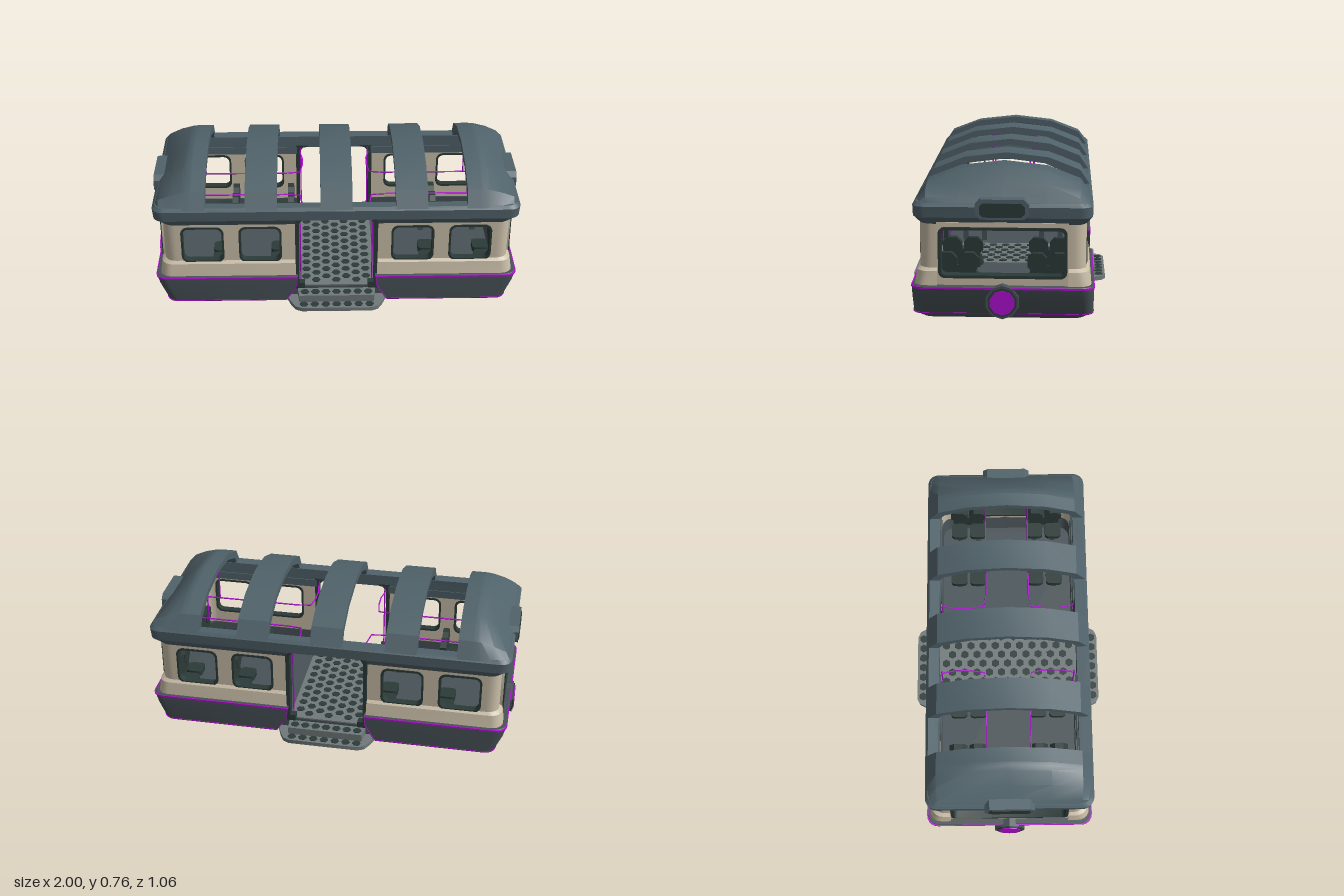
import * as THREE from 'three';
import { toCreasedNormals } from 'three/addons/utils/BufferGeometryUtils.js';

const mat = (name, color, side = THREE.FrontSide) => {
  const m = new THREE.MeshStandardMaterial({ color, side });
  m.name = name;
  return m;
};

// Copy of a geometry mirrored by sx, sz with the winding kept outward.
function mirrored(geo, sx, sz) {
  const g = geo.index ? geo.toNonIndexed() : geo.clone();
  g.deleteAttribute('uv');
  g.deleteAttribute('normal');
  g.clearGroups();
  g.scale(sx, 1, sz);
  if (sx * sz < 0) {
    const p = g.attributes.position, a = new THREE.Vector3(), b = new THREE.Vector3();
    for (let i = 0; i < p.count; i += 3) {
      a.fromBufferAttribute(p, i + 1);
      b.fromBufferAttribute(p, i + 2);
      p.setXYZ(i + 1, b.x, b.y, b.z);
      p.setXYZ(i + 2, a.x, a.y, a.z);
    }
  }
  g.computeVertexNormals();
  return toCreasedNormals(g, 0.55);
}

function meshFrom(pos, idx) {
  const g = new THREE.BufferGeometry();
  g.setAttribute('position', new THREE.Float32BufferAttribute(pos, 3));
  g.setIndex(idx);
  return g;
}

// Quarter wall round one corner: a closed profile of [xStart, xEnd, zHalf, y].
function quarter(profile, zStop = 0, r = 0.06) {
  const pos = [], idx = [], n = profile.length, steps = 5, m = steps + 3;
  for (const [xs, xe, zh, y] of profile) {
    pos.push(xs, y, zh);
    for (let k = 0; k <= steps; k++) {
      const a = (1 - k / steps) * Math.PI / 2;
      pos.push(xe - r + r * Math.cos(a), y, zh - r + r * Math.sin(a));
    }
    pos.push(xe, y, zStop);
  }
  for (let i = 0; i < n; i++) for (let j = 0; j < m - 1; j++) {
    const a = i * m + j, d = ((i + 1) % n) * m + j;
    idx.push(a, a + 1, d + 1, a, d + 1, d);
  }
  for (let i = 1; i < n - 1; i++) {
    idx.push(0, i * m, (i + 1) * m);
    idx.push(m - 1, (i + 1) * m + m - 1, i * m + m - 1);
  }
  return meshFrom(pos, idx);
}

function roundRect(x0, x1, y0, y1, r, T = THREE.Shape) {
  const s = new T();
  s.moveTo(x0 + r, y0).lineTo(x1 - r, y0);
  s.absarc(x1 - r, y0 + r, r, -Math.PI / 2, 0).lineTo(x1, y1 - r);
  s.absarc(x1 - r, y1 - r, r, 0, Math.PI / 2).lineTo(x0 + r, y1);
  s.absarc(x0 + r, y1 - r, r, Math.PI / 2, Math.PI).lineTo(x0, y0 + r);
  s.absarc(x0 + r, y0 + r, r, Math.PI, Math.PI * 1.5);
  return s;
}
const poly = (pts) => new THREE.Shape(pts.map(([x, y]) => new THREE.Vector2(x, y)));
const extrude = (shape, depth) => new THREE.ExtrudeGeometry(shape, { depth, bevelEnabled: false, curveSegments: 5 });
// Extrusion facing +z, along +x, or lying flat
const alongZ = (s, z, d) => extrude(s, d).translate(0, 0, z);
const alongX = (s, x, d) => extrude(s, d).rotateY(Math.PI / 2).translate(x, 0, 0);
const flat = (s, y, d) => extrude(s, d).rotateX(Math.PI / 2).translate(0, y + d, 0);
const box = (x0, x1, y0, y1, z0, z1) => new THREE.BoxGeometry(x1 - x0, y1 - y0, z1 - z0)
  .translate((x0 + x1) / 2, (y0 + y1) / 2, (z0 + z1) / 2);
const rod = (pts, r = 0.004) => {
  const path = new THREE.CurvePath(), v = pts.map((p) => new THREE.Vector3(...p));
  for (let i = 1; i < v.length; i++) path.add(new THREE.LineCurve3(v[i - 1], v[i]));
  return new THREE.TubeGeometry(path, (v.length - 1) * 3, r, 6);
};
const discX = (r, x0, x1, sides, y, z) => new THREE.CylinderGeometry(r, r, x1 - x0, sides, 1, false, Math.PI / 2)
  .rotateZ(-Math.PI / 2).translate((x0 + x1) / 2, y, z);

export function createModel() {
  const root = new THREE.Group();
  root.name = 'openShuttle';
  const slate = mat('slateRoof', 0x50626a, THREE.DoubleSide);
  const hullMat = mat('hullGrey', 0x485257);
  const cream = mat('creamPanel', 0xcabea8);
  const purple = mat('purpleTrim', 0xb010d2);
  const dark = mat('darkFrame', 0x2b3a38);
  const plate = mat('treadPlate', 0x70797a);
  const BOTH = [1, -1], ONE = [1];
  const add = (name, geo, material, xs = ONE, zs = ONE) => {
    for (const sx of xs) for (const sz of zs) {
      const mesh = new THREE.Mesh(mirrored(geo, sx, sz), material);
      mesh.name = name;
      root.add(mesh);
    }
  };

  // Lower hull and its purple trim lines
  add('hull', quarter([[0.29, 0.90, 0.41, 0], [0.275, 0.925, 0.452, 0.025], [0.215, 0.965, 0.455, 0.12],
    [0.21, 0.98, 0.455, 0.172], [0.21, 0.975, 0.45, 0.18], [0.21, 0.90, 0.38, 0.18], [0.29, 0.86, 0.38, 0]]), hullMat, BOTH, BOTH);
  add('hullTrimTop', quarter([[0.21, 0.982, 0.458, 0.168], [0.21, 0.982, 0.458, 0.177],
    [0.21, 0.96, 0.43, 0.177], [0.21, 0.96, 0.43, 0.168]]), purple, BOTH, BOTH);
  add('hullTrimBottom', quarter([[0.275, 0.928, 0.454, 0.024], [0.275, 0.93, 0.456, 0.03],
    [0.275, 0.90, 0.43, 0.03], [0.275, 0.90, 0.43, 0.024]]), purple, BOTH, BOTH);
  add('hullTrimEdge', rod([[0.213, 0.172, 0.454], [0.218, 0.12, 0.454], [0.273, 0.028, 0.452]], 0.003), purple, BOTH, BOTH);
  add('floor', flat(roundRect(-0.885, 0.885, -0.4, 0.4, 0.05), 0.001, 0.085), hullMat);

  // Cream waist, side walls, rounded corners and end walls
  add('waist', quarter([[0.22, 0.957, 0.441, 0.18], [0.22, 0.947, 0.429, 0.25], [0.22, 0.93, 0.416, 0.264],
    [0.22, 0.9, 0.386, 0.264], [0.22, 0.9, 0.386, 0.18]], 0.325), cream, BOTH, BOTH);
  const side = roundRect(0.215, 0.86, 0.18, 0.5, 0.001);
  const windows = [[0.295, 0.525], [0.605, 0.835]];
  for (const [a, b] of windows) {
    side.holes.push(roundRect(a, b, 0.255, 0.475, 0.04, THREE.Path));
    const frame = roundRect(a, b, 0.255, 0.475, 0.04);
    frame.holes.push(roundRect(a + 0.011, b - 0.011, 0.266, 0.464, 0.032, THREE.Path));
    add('sideWindowFrame', alongZ(frame, 0.38, 0.04), dark, BOTH, BOTH);
  }
  add('sideWall', alongZ(side, 0.385, 0.03), cream, BOTH, BOTH);
  add('cornerPost', quarter([[0.855, 0.93, 0.415, 0.18], [0.855, 0.93, 0.415, 0.5],
    [0.855, 0.9, 0.385, 0.5], [0.855, 0.9, 0.385, 0.18]], 0.325), cream, BOTH, BOTH);
  const endWall = roundRect(-0.326, 0.326, 0.18, 0.5, 0.001);
  endWall.holes.push(roundRect(-0.318, 0.318, 0.218, 0.474, 0.035, THREE.Path));
  add('endWall', alongX(endWall, 0.905, 0.04), cream, BOTH);
  const endFrame = roundRect(-0.32, 0.32, 0.216, 0.476, 0.035);
  endFrame.holes.push(roundRect(-0.305, 0.305, 0.231, 0.461, 0.025, THREE.Path));
  add('endWindowFrame', alongX(endFrame, 0.895, 0.056), dark, BOTH);

  // Doorway frames
  const door = roundRect(-0.222, 0.222, 0.08, 0.545, 0.04);
  door.holes.push(roundRect(-0.203, 0.203, 0.07, 0.53, 0.04, THREE.Path));
  const post = poly([[0.203, 0.085], [0.222, 0.085], [0.222, 0.54], [0.15, 0.54], [0.15, 0.532], [0.18, 0.525], [0.2, 0.5]]);
  add('doorFrame', alongZ(post, 0.375, 0.055), dark, BOTH, BOTH);
  add('doorFoot', box(0.172, 0.205, 0.085, 0.12, 0.39, 0.43), dark, BOTH, BOTH);

  // Roof rim: deep over the walls, shallower over the doorways
  add('roofEaves', quarter([[0.215, 0.93, 0.414, 0.488], [0.215, 0.975, 0.444, 0.532],
    [0.215, 0.88, 0.37, 0.532], [0.215, 0.88, 0.37, 0.488]]), slate, BOTH, BOTH);
  add('roofRim', quarter([[0, 0.975, 0.444, 0.53], [0, 0.98, 0.446, 0.585], [0, 0.965, 0.432, 0.602],
    [0, 0.89, 0.375, 0.598], [0, 0.88, 0.375, 0.53]]), slate, BOTH, BOTH);

  // Roof arches
  const half = [[0.445, 0.585], [0.385, 0.675], [0.22, 0.74]];
  const section = [...half, [0, 0.765], ...half.map(([z, y]) => [-z, y]).reverse()];
  const inner = section.map(([z, y]) => [z * 0.91, y - 0.032]).reverse();
  const arch = poly([...section, ...inner]);
  for (const [x, w] of [[-0.485, 0.17], [-0.085, 0.17], [0.315, 0.17], [0.695, 0.077], [-0.772, 0.077]]) {
    add('roofArch', alongX(arch, x, w), slate);
  }

  // Hipped roof ends
  const pos = [], idx = [];
  const stations = [[0.77, 1, 1], [0.79, 0.98, 1], [0.815, 0.9, 1], [0.88, 0.55, 1], [0.945, 0.17, 0.985], [0.972, 0, 0.93]];
  for (const [x, k, w] of stations) for (const [z, y] of section) {
    const f = y - 0.59;
    pos.push(x, 0.59 + (f > 0 ? f * Math.pow(k, f / 0.175) : f), z * w);
  }
  for (let i = 0; i < stations.length - 1; i++) for (let j = 0; j < 6; j++) {
    const a = i * 7 + j, d = a + 7;
    idx.push(a, d, d + 1, a, d + 1, a + 1);
  }
  add('roofEnd', meshFrom(pos, idx), slate, BOTH);

  // End lamps: roof marker and round lower lamp
  const octagon = (w, y0, y1, c) => poly([[-w, y0 + c], [-w + c, y0], [w - c, y0], [w, y0 + c],
    [w, y1 - c], [w - c, y1], [-w + c, y1], [-w, y1 - c]]);
  add('roofLampHousing', alongX(octagon(0.132, 0.527, 0.627, 0.025), 0.935, 0.06), slate, BOTH);
  add('roofLampLens', alongX(octagon(0.112, 0.538, 0.608, 0.018), 0.99, 0.009), dark, BOTH);
  add('lampHousing', discX(0.086, 0.9, 0.99, 10, 0.105, 0), hullMat, BOTH);
  add('lampBezel', discX(0.074, 0.98, 0.995, 10, 0.105, 0), dark, BOTH);
  add('lampLens', discX(0.064, 0.992, 1, 10, 0.105, 0), purple, BOTH);

  // Tread floor and door steps with hexagonal studs
  add('treadFloor', box(-0.21, 0.21, 0.084, 0.092, -0.405, 0.405), plate);
  add('upperStep', flat(poly([[-0.215, 0.38], [0.215, 0.38], [0.205, 0.475], [-0.205, 0.475]]), 0.02, 0.046), plate, ONE, BOTH);
  add('lowerStep', flat(poly([[-0.28, 0.39], [0.28, 0.39], [0.25, 0.47], [0.225, 0.515], [0.19, 0.532],
    [-0.19, 0.532], [-0.225, 0.515], [-0.25, 0.47]]), 0.003, 0.022), plate, ONE, BOTH);
  const hex = (x, y, z) => new THREE.CylinderGeometry(0.024, 0.024, 0.004, 6, 1, false, Math.PI / 6).translate(x, y, z);
  for (let i = -3; i <= 3; i++) {
    add('stepHex', hex(i * 0.06, 0.026, 0.498), dark, ONE, BOTH);
    add('stepHex', hex(i * 0.058, 0.067, 0.438), dark, ONE, BOTH);
    for (let j = -5; j <= 5; j++) {
      const z = j * 0.072 + (i % 2 ? 0.036 : 0);
      if (Math.abs(z) < 0.38) add('floorHex', hex(i * 0.055, 0.093, z), dark);
    }
  }

  // Purple grab rails
  add('ceilingRail', rod([[0.92, 0.5, 0.12], [0.2, 0.5, 0.12], [0.185, 0.5, 0.18], [0.185, 0.5, 0.3], [0.2, 0.5, 0.37]]), purple, BOTH, BOTH);
  add('doorPole', rod([[0.195, 0.09, 0.365], [0.195, 0.53, 0.365]]), purple, BOTH, BOTH);
  for (const x of [0.4, 0.73]) add('railHanger', rod([[x, 0.5, 0.12], [x, 0.725, 0.12]]), purple, BOTH, BOTH);

  // Paired seats, all facing the same way
  for (const x of [-0.57, -0.25, 0.57, 0.875]) {
    for (const z of [0.17, 0.28]) {
      const back = octagon(0.049, 0.235, 0.33, 0.026);
      add('seatBack', alongX(back, x - 0.02, 0.035).translate(0, 0, z), dark, ONE, BOTH);
      add('seatCushion', flat(roundRect(x - 0.11, x - 0.02, z - 0.047, z + 0.047, 0.022), 0.17, 0.03), dark, ONE, BOTH);
      add('seatLeg', box(x - 0.08, x - 0.05, 0.085, 0.17, z - 0.015, z + 0.015), hullMat, ONE, BOTH);
    }
    add('seatBackBase', box(x - 0.015, x + 0.01, 0.17, 0.265, 0.135, 0.315), dark, ONE, BOTH);
  }
  return root;
}
